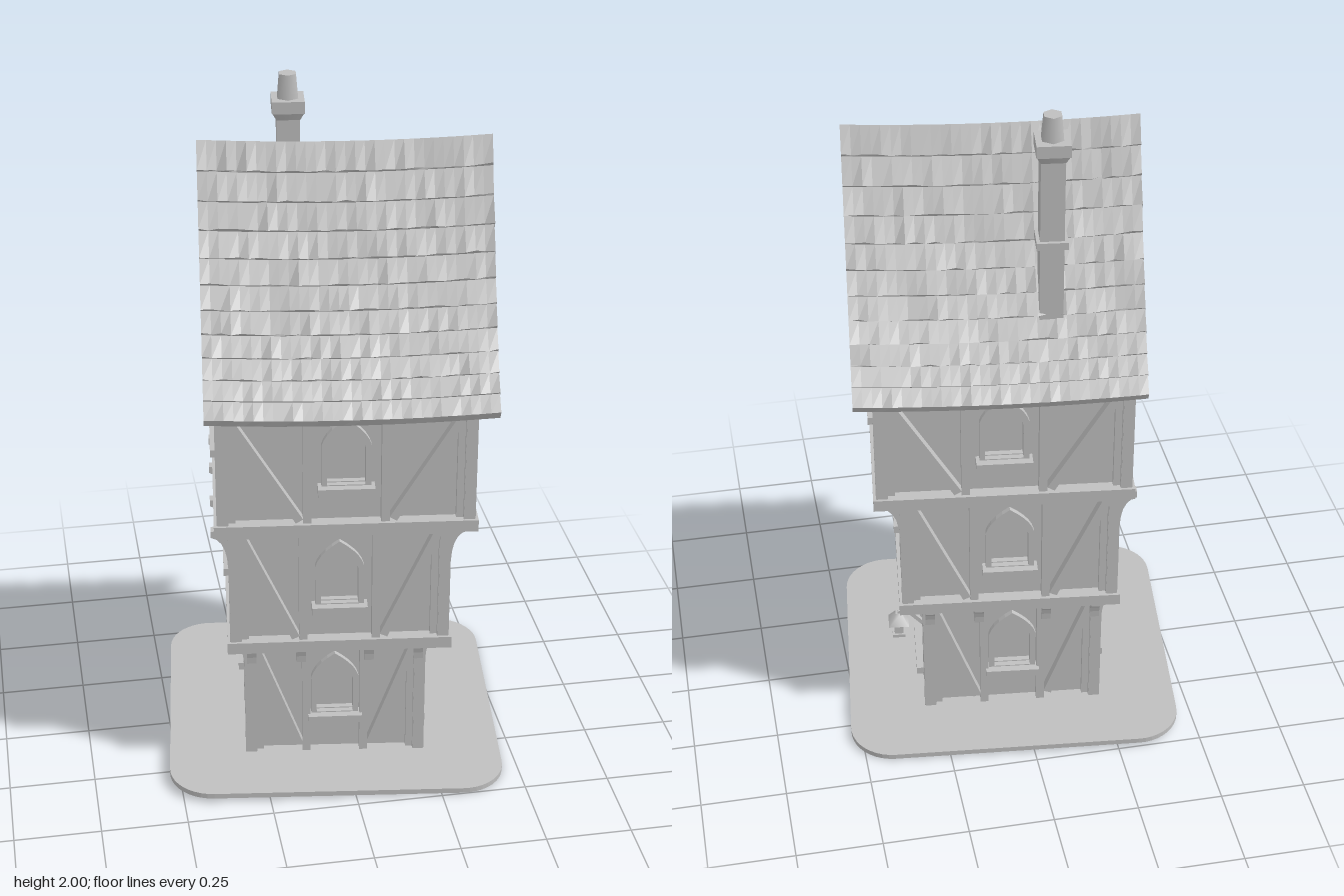
import * as THREE from 'three';

const stone = new THREE.MeshStandardMaterial({ color: 0xbfbfbf });
stone.name = 'plain grey';

let seed = 7;
const rand = () => (seed = (seed * 16807) % 2147483647) / 2147483647;

function add(parent, name, geo, x = 0, y = 0, z = 0) {
  const m = new THREE.Mesh(geo, stone);
  m.name = name;
  m.position.set(x, y, z);
  parent.add(m);
  return m;
}
const box = (p, name, w, h, d, x, y, z) => add(p, name, new THREE.BoxGeometry(w, h, d), x, y, z);
const extrude = (shape, depth) =>
  new THREE.ExtrudeGeometry(shape, { depth, bevelEnabled: false, curveSegments: 5 });

// timber lying in the plane of a wall
function beam(p, name, x1, y1, x2, y2, w = 0.028, d = 0.03) {
  const len = Math.hypot(x2 - x1, y2 - y1);
  const m = box(p, name, len, w, d, (x1 + x2) / 2, (y1 + y2) / 2, 0);
  m.rotation.z = Math.atan2(y2 - y1, x2 - x1);
  return m;
}

// pointed arch outline
function arch(path, x, y, hw, h) {
  path.moveTo(x - hw, y);
  path.lineTo(x + hw, y);
  path.lineTo(x + hw, y + h * 0.62);
  path.quadraticCurveTo(x + hw * 0.85, y + h * 0.82, x, y + h);
  path.quadraticCurveTo(x - hw * 0.85, y + h * 0.82, x - hw, y + h * 0.62);
  path.closePath();
  return path;
}

function windowFrame(p, x, y) {
  const s = arch(new THREE.Shape(), x, y - 0.01, 0.07, 0.215);
  s.holes.push(arch(new THREE.Path(), x, y, 0.054, 0.185));
  add(p, 'windowFrame', extrude(s, 0.016), 0, 0, -0.008);
  box(p, 'windowPane', 0.13, 0.2, 0.008, x, y + 0.095, -0.034);
  box(p, 'windowSill', 0.16, 0.024, 0.045, x, y - 0.015, 0.008);
}

function rect(path, x0, y0, x1, y1) {
  path.moveTo(x0, y0);
  path.lineTo(x1, y0);
  path.lineTo(x1, y1);
  path.lineTo(x0, y1);
  path.closePath();
  return path;
}

// one timber-framed wall, facing local +z
function wall(parent, turn, dist, w, y0, y1, o) {
  const f = new THREE.Group();
  f.name = 'wall';
  f.rotation.y = turn;
  f.position.set(Math.sin(turn) * dist, 0, Math.cos(turn) * dist);
  parent.add(f);
  const h = w / 2, wx = o.windowX ?? 0;
  const s = rect(new THREE.Shape(), -h + 0.012, y0, h - 0.012, y1);
  if (o.door) s.holes.push(rect(new THREE.Path(), -0.1, y0 + 0.02, 0.1, y1 - 0.01));
  else s.holes.push(arch(new THREE.Path(), wx, o.windowY, 0.054, 0.185));
  add(f, 'plaster', extrude(s, 0.024), 0, 0, -0.037);
  for (const sx of [-1, 1]) {
    beam(f, 'cornerPost', sx * (h - 0.015), y0, sx * (h - 0.015), y1, 0.03, 0.034);
    beam(f, 'windowPost', wx + sx * o.post, y0, wx + sx * o.post, y1, 0.024);
    const inner = wx + sx * (o.post + 0.022);
    if (!o.door && sx * wx <= 0 && h - o.post > 0.08 && !(wx && sx < 0))
      beam(f, 'brace', sx * (h - 0.035), y1 - 0.02, inner, y0 + 0.03, 0.024);
  }
  if (o.door) {
    box(f, 'door', 0.21, y1 - y0, 0.012, 0, (y0 + y1) / 2, -0.045);
    box(f, 'doorStep', 0.22, 0.025, 0.06, 0, y0 + 0.012, 0.005);
    beam(f, 'doorLintel', -0.12, y1 - 0.015, 0.12, y1 - 0.015);
  } else windowFrame(f, wx, o.windowY);
  return f;
}

// curved bracket below an overhang
function bracket(f, x, y, reach, drop) {
  const s = new THREE.Shape();
  s.moveTo(-0.01, 0);
  s.lineTo(reach, 0);
  s.lineTo(reach, -0.02);
  s.quadraticCurveTo(0.02, -0.03, 0.018, -drop);
  s.lineTo(-0.01, -drop);
  add(f, 'bracket', extrude(s, 0.028), x + 0.014, y, 0).rotation.y = -Math.PI / 2;
}

function storey(house, name, cx, cz, W, D, y0, y1, opts) {
  const g = new THREE.Group();
  g.name = name;
  g.position.set(cx, 0, cz);
  house.add(g);
  return [0, 1, 2, 3].map((k) => {
    const side = k % 2 === 1;
    const w = side ? D : W;
    const f = wall(g, (k * Math.PI) / 2, (side ? W : D) / 2 - 0.015, w, y0, y1, { ...opts, ...(opts.sides?.[k] ?? {}) });
    if (opts.sill) {
      beam(f, 'sillBeam', -w / 2 - 0.01, y0 + 0.005, w / 2 + 0.01, y0 + 0.005, 0.036, 0.05);
      beam(f, 'topPlate', -w / 2, y1 - 0.012, w / 2, y1 - 0.012, 0.026);
      if (k === 0) box(g, 'floor', W - 0.02, 0.012, D - 0.02, 0, y0, 0);
    }
    return f;
  });
}

const HALF = 0.365, LEN = 0.405;
const roofY = (z) => {
  const s = Math.abs(z) / HALF;
  return 1.872 - 0.672 * s - 0.21 * s * (1 - s);
};

// shingled roof: a closed cross-section swept along the ridge
function roofGeometry() {
  const courses = 11, nx = 30, pos = [], idx = [];
  const half = [];
  for (let k = 0; k < courses; k++) half.push([k / courses, 0], [(k + 0.97) / courses, 1]);
  const line = [...half.slice(1).reverse().map(([s, l]) => [s, l]), [0, 0], ...half.slice(1).map(([s, l]) => [-s, l])];
  const N = line.length;
  for (let i = 0; i <= nx; i++) {
    const t = (i / nx) * 2 - 1, sag = 0.012 * t * t;
    const x = t * LEN;
    for (const [s, l] of line) {
      const lift = l * (0.004 + 0.012 * rand());
      const slide = l * 0.012 * (rand() - 0.5) * Math.sign(s);
      const z = s * HALF + lift * Math.sign(s) * 0.8 + (Math.abs(s) < 0.9 ? slide : 0);
      pos.push(x, roofY(s * HALF) + sag + lift * 0.5, z);
    }
    for (let j = N - 1; j >= 0; j--) {
      const s = line[j][0];
      pos.push(x, roofY(s * HALF) + sag - 0.03 + 0.012 * Math.abs(s), s * HALF * 0.985);
    }
  }
  const R = 2 * N;
  for (let i = 0; i < nx; i++)
    for (let j = 0; j < R; j++) {
      const a = i * R + j, d = i * R + ((j + 1) % R), b = a + R, c = d + R;
      idx.push(a, b, c, a, c, d);
    }
  for (let j = 0; j < N - 1; j++) {
    const q = [j, j + 1, R - 2 - j, R - 1 - j], e = q.map((v) => v + nx * R);
    idx.push(q[0], q[1], q[2], q[0], q[2], q[3], e[0], e[2], e[1], e[0], e[3], e[2]);
  }
  const g = new THREE.BufferGeometry();
  g.setAttribute('position', new THREE.Float32BufferAttribute(pos, 3));
  g.setIndex(idx);
  const flat = g.toNonIndexed();
  flat.computeVertexNormals();
  return flat;
}

function gable(parent, side) {
  const f = new THREE.Group();
  f.name = 'gable';
  f.rotation.y = (side * Math.PI) / 2;
  f.position.x = side * 0.35 - 0.013;
  parent.add(f);
  const s = new THREE.Shape(), under = (z) => roofY(z) - 0.02;
  s.moveTo(-0.32, 1.19);
  s.lineTo(0.32, 1.19);
  const zs = [0.32, 0.24, 0.16, 0.08, 0];
  for (const z of zs) s.lineTo(z, under(z));
  for (const z of zs.slice(0, 4).reverse()) s.lineTo(-z, under(z));
  add(f, 'gablePlaster', extrude(s, 0.02), 0, 0, -0.03);
  beam(f, 'tieBeam', -0.21, 1.37, 0.21, 1.37, 0.03, 0.04);
  beam(f, 'eaveBeam', -0.32, 1.205, 0.32, 1.205, 0.034, 0.05);
  beam(f, 'kingPost', 0, 1.37, 0, 1.82, 0.03);
  for (const m of [-1, 1]) {
    for (let i = 0; i < 4; i++)
      beam(f, 'rafter', m * zs[i], under(zs[i]) - 0.015, m * zs[i + 1], under(zs[i + 1]) - 0.015, 0.03, 0.05);
    beam(f, 'gableBrace', m * 0.15, 1.4, m * 0.03, 1.56, 0.022);
    beam(f, 'gablePost', m * 0.07, 1.38, m * 0.07, 1.64, 0.018);
    beam(f, 'lowerPost', m * 0.11, 1.2, m * 0.11, 1.36, 0.024);
    beam(f, 'lowerBrace', m * 0.25, 1.22, m * 0.18, 1.36, 0.022);
  }
}

export function createModel() {
  const model = new THREE.Group();
  model.name = 'timberHouse';
  const house = new THREE.Group();
  house.name = 'house';
  house.rotation.y = -0.11;
  model.add(house);

  // rounded ground slab, tilted slightly
  const a = 0.365, b = 0.332, r = 0.13, base = new THREE.Shape();
  base.absarc(a, b, r, 0, Math.PI / 2);
  base.absarc(-a, b, r, Math.PI / 2, Math.PI);
  base.absarc(-a, -b, r, Math.PI, Math.PI * 1.5);
  base.absarc(a, -b, r, Math.PI * 1.5, Math.PI * 2);
  const slab = add(house, 'groundSlab', extrude(base, 0.016), 0, 0.009, 0);
  slab.rotation.set(-Math.PI / 2, 0.015, 0);

  // three storeys, each wider than the one below
  const ground = storey(house, 'groundStorey', 0, 0, 0.53, 0.51, 0.02, 0.405,
    { windowY: 0.16, post: 0.085, sides: { 1: { door: true, post: 0.115 }, 3: { windowX: -0.11 } } });
  const middle = storey(house, 'middleStorey', 0.01, 0.012, 0.63, 0.6, 0.435, 0.825,
    { windowY: 0.575, post: 0.105, sill: true });
  storey(house, 'upperStorey', 0.027, 0.015, 0.725, 0.635, 0.835, 1.21,
    { windowY: 0.975, post: 0.11, sill: true });

  // joists and brackets under the overhangs
  ground.forEach((f, k) => {
    const h = (k % 2 ? 0.51 : 0.53) / 2 - 0.02;
    for (const x of [-h, -0.1, 0.1, h]) {
      bracket(f, x, 0.435, 0.055, 0.09);
      box(f, 'joist', 0.028, 0.03, 0.12, x, 0.42, -0.02);
    }
  });
  for (const k of [1, 3]) for (const x of [-0.28, -0.1, 0.1, 0.28]) bracket(middle[k], x, 0.825, 0.065, 0.12);

  // roof and gables
  const roof = new THREE.Group();
  roof.name = 'roof';
  roof.position.set(0.04, 0, 0.011);
  house.add(roof);
  add(roof, 'shingles', roofGeometry());
  gable(roof, 1);
  gable(roof, -1);

  // chimney
  const chimney = new THREE.Group();
  chimney.name = 'chimney';
  chimney.position.set(-0.107, 0, -0.194);
  house.add(chimney);
  box(chimney, 'shaft', 0.066, 0.52, 0.066, 0, 1.64, 0);
  box(chimney, 'collar', 0.086, 0.022, 0.086, 0, 1.625, 0);
  const flare = add(chimney, 'flare', new THREE.CylinderGeometry(0.064, 0.047, 0.025, 4), 0, 1.885, 0);
  flare.rotation.y = Math.PI / 4;
  box(chimney, 'cap', 0.092, 0.035, 0.092, 0, 1.912, 0);
  add(chimney, 'pot', new THREE.CylinderGeometry(0.027, 0.034, 0.075, 6), 0, 1.9625, 0);

  // hanging lantern beside the door
  const lamp = new THREE.Group();
  lamp.name = 'lantern';
  lamp.position.set(0.326, 0, -0.19);
  house.add(lamp);
  box(lamp, 'arm', 0.09, 0.014, 0.014, -0.03, 0.345, 0);
  beam(lamp, 'armBrace', -0.07, 0.29, -0.025, 0.34, 0.012, 0.012);
  const lid = add(lamp, 'lanternLid', new THREE.CylinderGeometry(0.012, 0.042, 0.035, 4), 0.012, 0.326, 0);
  lid.rotation.y = Math.PI / 4;
  box(lamp, 'lanternGlass', 0.026, 0.04, 0.026, 0.012, 0.29, 0);
  box(lamp, 'lanternFoot', 0.038, 0.01, 0.038, 0.012, 0.265, 0);
  return model;
}
